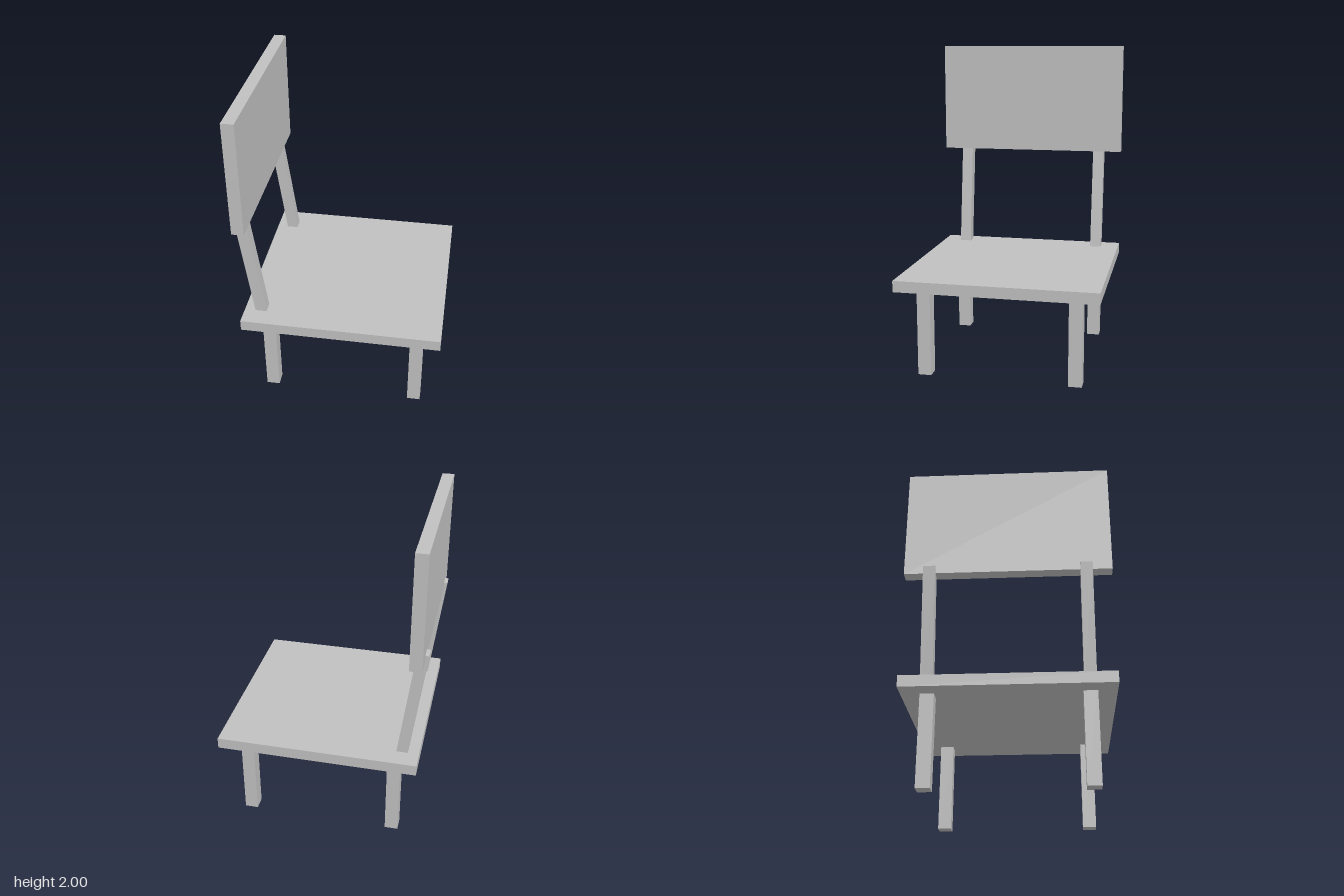
import * as THREE from 'three';

export function createModel() {
  const chair = new THREE.Group();
  chair.name = 'chair';
  const grey = new THREE.MeshStandardMaterial({ color: 0xc0c0c0 });
  grey.name = 'light grey';

  const box = (name, w, h, d, x, y, z) => {
    const mesh = new THREE.Mesh(new THREE.BoxGeometry(w, h, d), grey);
    mesh.name = name;
    mesh.position.set(x, y, z);
    chair.add(mesh);
    return mesh;
  };

  // Square seat and upright back panel; the chair faces +x
  box('seat', 1.244, 0.07, 1.244, 0.01, 0.59, 0);
  box('backPanel', 0.075, 0.715, 1.244, -0.575, 1.6425, 0);

  const tilt = 0.13;
  for (const z of [-0.468, 0.468]) {
    // Straight legs under the seat
    box('rearLeg', 0.083, 0.57, 0.083, -0.461, 0.285, z);
    box('frontLeg', 0.083, 0.57, 0.083, 0.48, 0.285, z);

    // Leaning post from inside the seat up to the back panel
    const post = box('backPost', 0.07, 0.74, 0.073, -0.552, 0.962, z);
    post.rotation.z = tilt;
  }

  return chair;
}
